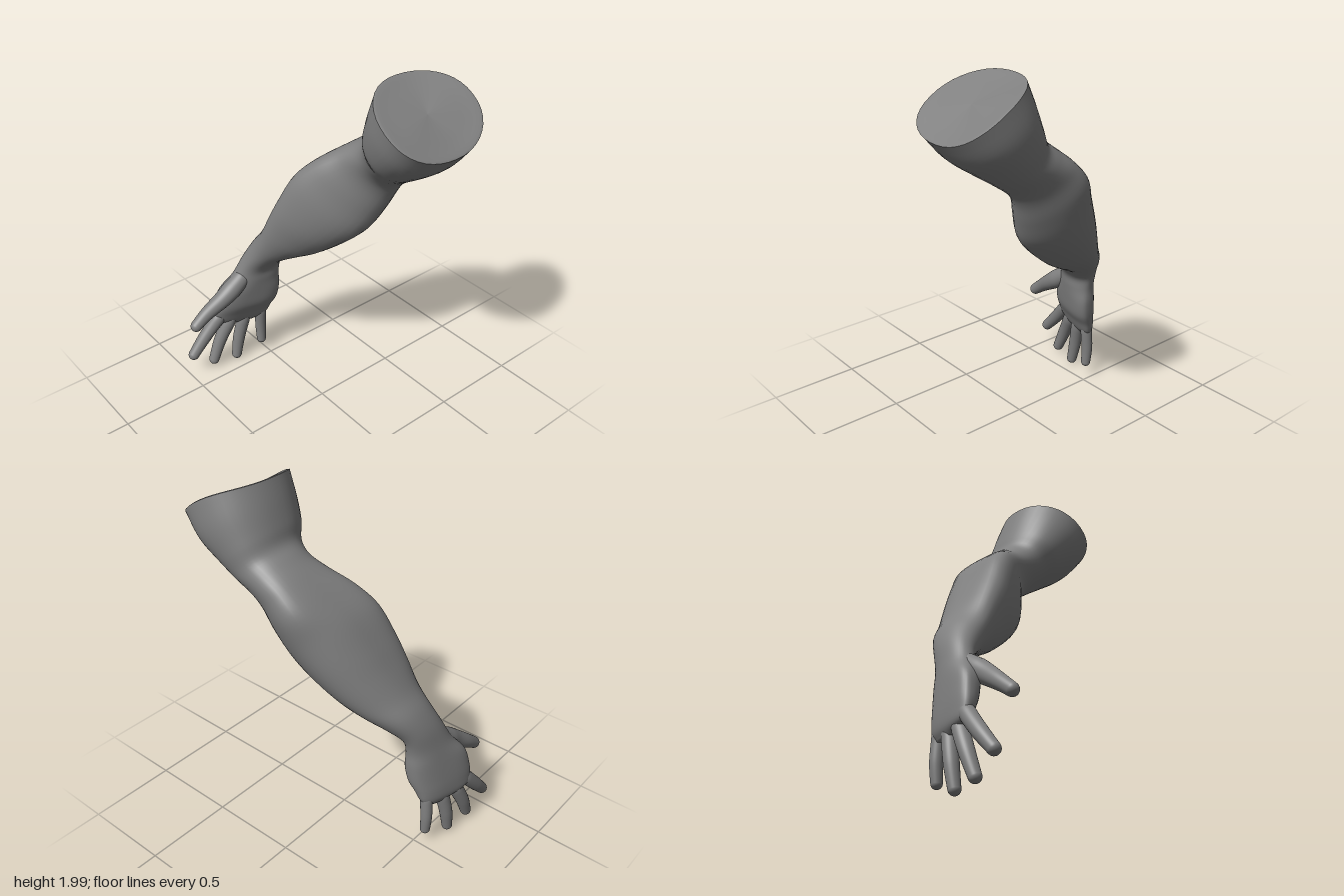
import * as THREE from 'three';

const V = (x, y, z) => new THREE.Vector3(x, y, z);
const material = new THREE.MeshStandardMaterial({ color: 0x808080 });
const SIDES = 40;
const CAP_NORMAL = V(0.55, 0.83, 0);

// Closed ring of points around a centre, spanned by two half-axes;
// front and back bend the two ends of v towards u
function ring(c, u, v, power = 1, front = 0, back = 0) {
  const soft = (t) => Math.sign(t) * Math.pow(Math.abs(t), power);
  return Array.from({ length: SIDES }, (_, j) => {
    const a = (j / SIDES) * Math.PI * 2;
    const s = Math.sin(a);
    return c.clone()
      .addScaledVector(u, soft(Math.cos(a)) + s * s * (s > 0 ? back : front))
      .addScaledVector(v, soft(s));
  });
}

// Skin a list of rings with quads, sharing vertices for smooth normals
function skin(rings, closeEnd) {
  const pos = rings.flat().flatMap((p) => [p.x, p.y, p.z]);
  const index = [];
  for (let i = 0; i < rings.length - 1; i++) {
    for (let j = 0; j < SIDES; j++) {
      const k = (j + 1) % SIDES;
      const a = i * SIDES + j, b = i * SIDES + k;
      index.push(a, b, a + SIDES, b, b + SIDES, a + SIDES);
    }
  }
  if (closeEnd) {
    const last = rings[rings.length - 1], base = (rings.length - 1) * SIDES;
    const c = last.reduce((s, p) => s.add(p), V(0, 0, 0)).divideScalar(SIDES);
    pos.push(c.x, c.y, c.z);
    for (let j = 0; j < SIDES; j++) {
      index.push(base + SIDES, base + j, base + ((j + 1) % SIDES));
    }
  }
  const g = new THREE.BufferGeometry();
  g.setAttribute('position', new THREE.Float32BufferAttribute(pos, 3));
  g.setIndex(index);
  g.computeVertexNormals();
  return g;
}

// Outer edge x, y; inner edge x, y; front z; back z; front bend; back bend
const armRows = [
  [0.248, 1.995, 0.66, 1.728, 0.05, -0.51, -0.1, 0],
  [0.21, 1.89, 0.57, 1.625, 0.03, -0.51, -0.05, 0],
  [0.175, 1.78, 0.45, 1.54, -0.01, -0.485, 0, 0.05],
  [0.15, 1.70, 0.36, 1.48, -0.065, -0.465, 0.05, 0.1],
  [0.09, 1.65, 0.275, 1.415, -0.09, -0.46, 0.2, 0.25],
  [0.00, 1.58, 0.23, 1.35, -0.07, -0.458, 0.45, 0.4],
  [-0.10, 1.49, 0.185, 1.24, 0, -0.455, 0.6, 0.4],
  [-0.20, 1.38, 0.12, 1.11, 0.068, -0.412, 0.6, 0.2],
  [-0.29, 1.23, 0.01, 1.00, 0.11, -0.36, 0.5, 0.1],
  [-0.36, 1.10, -0.13, 0.89, 0.128, -0.295, 0.4, 0.05],
  [-0.43, 0.98, -0.25, 0.82, 0.138, -0.225, 0.2, 0],
];
// Outer edge x, y; inner edge x, y; front z; back z; no bends; sideways lean
const handRows = [
  [-0.50, 0.88, -0.35, 0.76, 0.15, -0.15, 0, 0, 0],
  [-0.55, 0.77, -0.415, 0.69, 0.178, -0.08, 0, 0, -0.005],
  [-0.58, 0.645, -0.43, 0.62, 0.222, -0.052, 0, 0, -0.025],
  [-0.602, 0.55, -0.45, 0.53, 0.285, -0.05, 0, 0, -0.045],
  [-0.617, 0.45, -0.472, 0.44, 0.31, -0.04, 0, 0, -0.05],
  [-0.625, 0.37, -0.51, 0.37, 0.315, -0.02, 0, 0, -0.045],
  [-0.622, 0.31, -0.54, 0.305, 0.295, 0, 0, 0, -0.04],
  [-0.597, 0.27, -0.56, 0.27, 0.20, 0.04, 0, 0, -0.02],
];

function armRings() {
  const c = [], u = [], v = [], shape = [];
  for (const [ax, ay, bx, by, zf, zb, front, back, lean = 0] of [...armRows, ...handRows]) {
    c.push(V((ax + bx) / 2, (ay + by) / 2, (zf + zb) / 2));
    u.push(V((ax - bx) / 2, (ay - by) / 2, 0));
    v.push(V(-lean, 0, (zb - zf) / 2));
    // Boxier palm, rounder forearm
    shape.push(V(front, back, lean < -0.03 ? 0.75 : front > 0.1 ? 1.02 : 0.92));
  }
  const [C, U, W, S] = [c, u, v, shape]
    .map((p) => new THREE.CatmullRomCurve3(p, false, 'catmullrom', 0.5));
  const steps = (c.length - 1) * 5;
  return Array.from({ length: steps + 1 }, (_, i) => {
    const t = i / steps;
    const s = S.getPoint(t);
    const points = ring(C.getPoint(t), U.getPoint(t), W.getPoint(t), s.z, s.x, s.y);
    // The cut end of the upper arm is raised, mostly at its back
    const fade = Math.max(0, 1 - t * 9);
    points.forEach((p, j) => {
      const side = Math.sin((j / SIDES) * Math.PI * 2);
      p.addScaledVector(CAP_NORMAL, fade * side * side * (side > 0 ? 0.045 : 0.02));
    });
    return points;
  });
}

// Disc with a slightly rounded rim closing the upper arm
function capGeometry(rim) {
  const centre = V(0.463, 1.875, -0.23);
  const rings = [0, 0.3, 0.6, 0.85, 0.95, 1].map((s) =>
    rim.map((p) => centre.clone().lerp(p, s)
      .addScaledVector(CAP_NORMAL, s === 0.95 ? 0.004 : 0)));
  return skin(rings, false);
}

// Tapering digit along a curve, rounded off at the tip
function digit(points, radii) {
  const curve = new THREE.CatmullRomCurve3(points.map((p) => V(...p)));
  const n = 36, tip = radii[radii.length - 1] / curve.getLength();
  const rings = [];
  for (let i = 0; i <= n; i++) {
    const t = i < 24 ? (i / 24) * (1 - tip) : 1 - tip + tip * Math.sin(((i - 24) / 12) * Math.PI / 2);
    const f = t * (radii.length - 1), k = Math.min(Math.floor(f), radii.length - 2);
    let r = THREE.MathUtils.lerp(radii[k], radii[k + 1], f - k);
    r *= Math.sqrt(Math.max(0.0004, 1 - Math.max(0, (t - 1 + tip) / tip) ** 2));
    const T = curve.getTangentAt(t);
    const u = V(1, 0, 0).cross(T).normalize();
    const v = T.clone().cross(u);
    rings.push(ring(curve.getPointAt(t), u.multiplyScalar(r), v.multiplyScalar(r)));
  }
  return skin(rings, true);
}

// Centre line and radii of each digit, rooted inside the palm
const digits = {
  thumb: [[[-0.52, 0.70, 0.08], [-0.512, 0.62, 0.19], [-0.515, 0.545, 0.30], [-0.535, 0.47, 0.41], [-0.54, 0.395, 0.51]],
    [0.015, 0.05, 0.056, 0.047, 0.038, 0.031]],
  indexFinger: [[[-0.58, 0.45, 0.20], [-0.612, 0.335, 0.292], [-0.627, 0.23, 0.385], [-0.628, 0.115, 0.49]],
    [0.02, 0.041, 0.038, 0.03]],
  middleFinger: [[[-0.567, 0.42, 0.17], [-0.596, 0.29, 0.23], [-0.612, 0.17, 0.29], [-0.61, 0.022, 0.355]],
    [0.02, 0.041, 0.037, 0.029]],
  ringFinger: [[[-0.555, 0.42, 0.11], [-0.575, 0.28, 0.14], [-0.588, 0.15, 0.17], [-0.587, 0.001, 0.2]],
    [0.02, 0.039, 0.036, 0.028]],
  littleFinger: [[[-0.54, 0.43, 0.04], [-0.547, 0.29, 0.034], [-0.553, 0.18, 0.032], [-0.547, 0.065, 0.035]],
    [0.018, 0.034, 0.032, 0.026]],
};

export function createModel() {
  const group = new THREE.Group();
  group.name = 'arm';
  const add = (name, geo) => {
    const mesh = new THREE.Mesh(geo, material);
    mesh.name = name;
    group.add(mesh);
  };

  // Upper arm, elbow, forearm and palm as one smooth skin
  const rings = armRings();
  add('armAndPalm', skin(rings, true));
  add('upperArmCap', capGeometry(rings[0]));

  for (const [name, [points, radii]] of Object.entries(digits)) {
    add(name, digit(points, radii));
  }
  return group;
}
